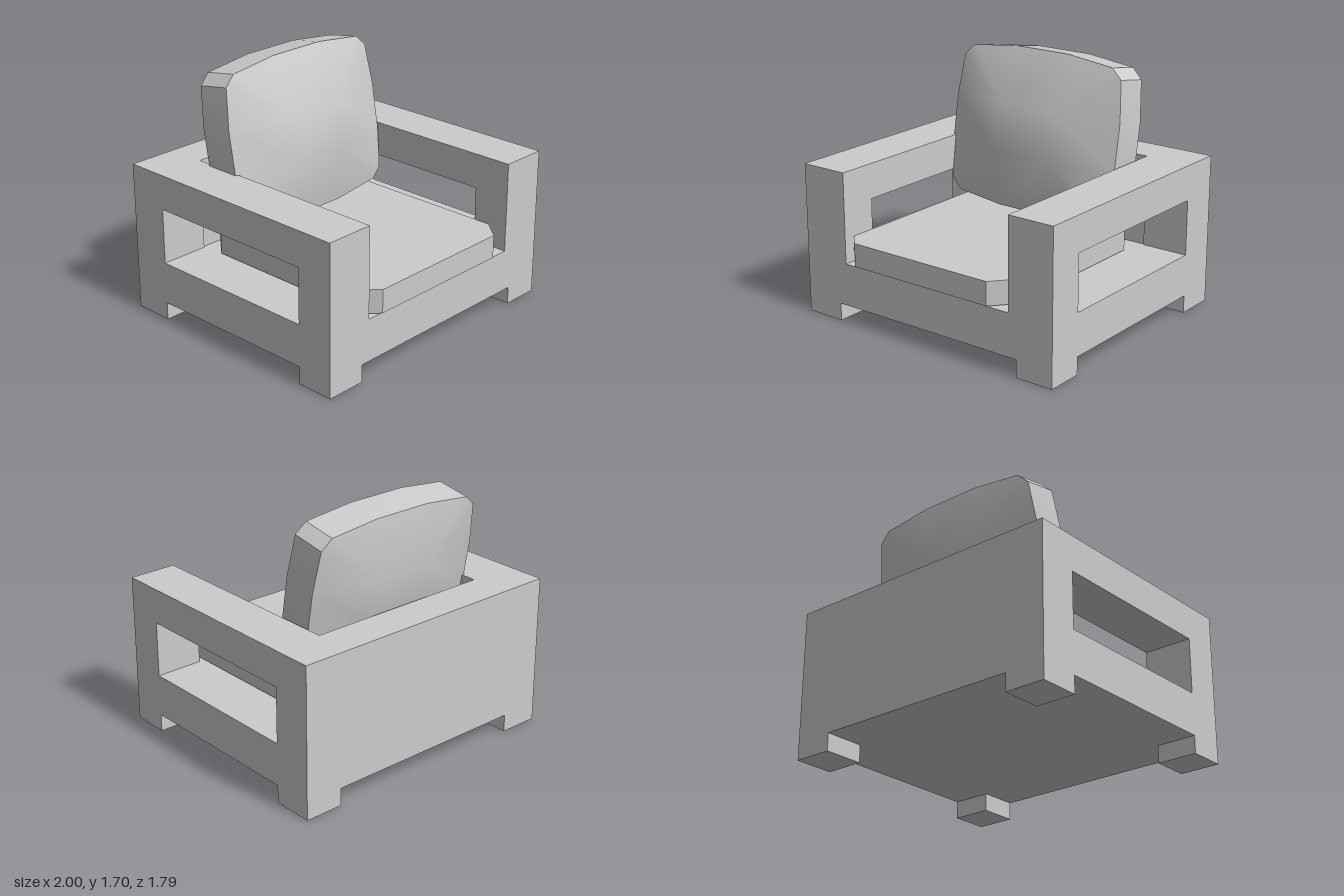
import * as THREE from 'three';
import { toCreasedNormals } from 'three/addons/utils/BufferGeometryUtils.js';

const material = new THREE.MeshStandardMaterial({ color: 0xcccccc });

function part(name, geometry) {
  const mesh = new THREE.Mesh(geometry, material);
  mesh.name = name;
  return mesh;
}

// Box given by its limits on each axis
function block(name, [x0, x1], [y0, y1], [z0, z1]) {
  const g = new THREE.BoxGeometry(x1 - x0, y1 - y0, z1 - z0);
  g.translate((x0 + x1) / 2, (y0 + y1) / 2, (z0 + z1) / 2);
  return part(name, g);
}

const points = (list) => list.map(([x, y]) => new THREE.Vector2(x, y));
const rectangle = (x0, x1, y0, y1) => points([[x0, y0], [x1, y0], [x1, y1], [x0, y1]]);

// Side panel with a window under the armrest
function armPanel(name, x0, x1) {
  const shape = new THREE.Shape(rectangle(-0.9, 0.87, 0.12, 1.03));
  shape.holes.push(new THREE.Path(rectangle(-0.62, 0.61, 0.41, 0.79)));
  const g = new THREE.ExtrudeGeometry(shape, { depth: x1 - x0, bevelEnabled: false });
  g.rotateY(-Math.PI / 2);
  g.translate(x1, 0, 0);
  return part(name, g);
}

// Flat slab with cut corners
function seatCushion() {
  const outline = points([
    [-0.56, -0.89], [0.52, -0.89], [0.64, -0.75], [0.64, 0.43],
    [0.52, 0.57], [-0.56, 0.57], [-0.66, 0.45], [-0.66, -0.79],
  ]);
  const g = new THREE.ExtrudeGeometry(new THREE.Shape(outline), { depth: 0.16, bevelEnabled: false });
  g.rotateX(-Math.PI / 2);
  g.translate(0, 0.42, 0);
  return part('seatCushion', g);
}

// Pillow: a many-sided rim, with faces rising to a raised centre panel
function backCushion() {
  const corner = [[0.67, 0.16], [0.64, 0.435], [0.565, 0.505], [0.21, 0.545]];
  const flip = ([x, y], sx, sy) => [x * sx, y * sy];
  const back = [...corner].reverse();
  const rim = [
    ...corner,
    ...back.map((p) => flip(p, -1, 1)),
    ...corner.map((p) => flip(p, -1, -1)),
    ...back.map((p) => flip(p, 1, -1)),
  ];
  const panel = rim.map(([x, y]) => [Math.sign(x) * 0.21, Math.sign(y) * 0.16]);
  const rings = [[panel, -0.22], [rim, -0.122], [rim, 0.122], [panel, 0.255]]
    .map(([ring, z]) => ring.map(([x, y]) => new THREE.Vector3(x, y, z)));

  const pos = [];
  const tri = (a, b, c) => {
    if (a.equals(b) || b.equals(c) || a.equals(c)) return;
    for (const p of [a, b, c]) pos.push(p.x, p.y, p.z);
  };
  const n = rim.length;
  for (let r = 0; r < 3; r++) {
    for (let i = 0; i < n; i++) {
      const j = (i + 1) % n;
      const [a, b, c, d] = [rings[r][i], rings[r][j], rings[r + 1][j], rings[r + 1][i]];
      tri(a, b, c);
      tri(a, c, d);
    }
  }
  // Centre panels, front and back
  const f = rings[3], k = rings[0];
  tri(f[0], f[4], f[8]);
  tri(f[0], f[8], f[12]);
  tri(k[0], k[8], k[4]);
  tri(k[0], k[12], k[8]);

  const g = new THREE.BufferGeometry();
  g.setAttribute('position', new THREE.Float32BufferAttribute(pos, 3));
  const mesh = part('backCushion', toCreasedNormals(g, 0.55));
  mesh.position.set(-0.012, 1.14, -0.41);
  mesh.rotation.x = -0.17;
  return mesh;
}

export function createModel() {
  const chair = new THREE.Group();
  chair.name = 'armchair';

  // Frame
  chair.add(armPanel('rightArm', -1, -0.66), armPanel('leftArm', 0.67, 1));
  chair.add(block('base', [-0.66, 0.67], [0.12, 0.41], [-0.9, 0.87]));
  chair.add(block('backPanel', [-0.66, 0.67], [0.41, 1.03], [-0.9, -0.63]));

  // Feet
  for (const [side, x] of [['Right', [-1, -0.72]], ['Left', [0.73, 1]]]) {
    chair.add(block(`front${side}Foot`, x, [0, 0.12], [0.61, 0.87]));
    chair.add(block(`back${side}Foot`, x, [0, 0.12], [-0.9, -0.62]));
  }

  // Cushions
  chair.add(seatCushion(), backCushion());
  return chair;
}
